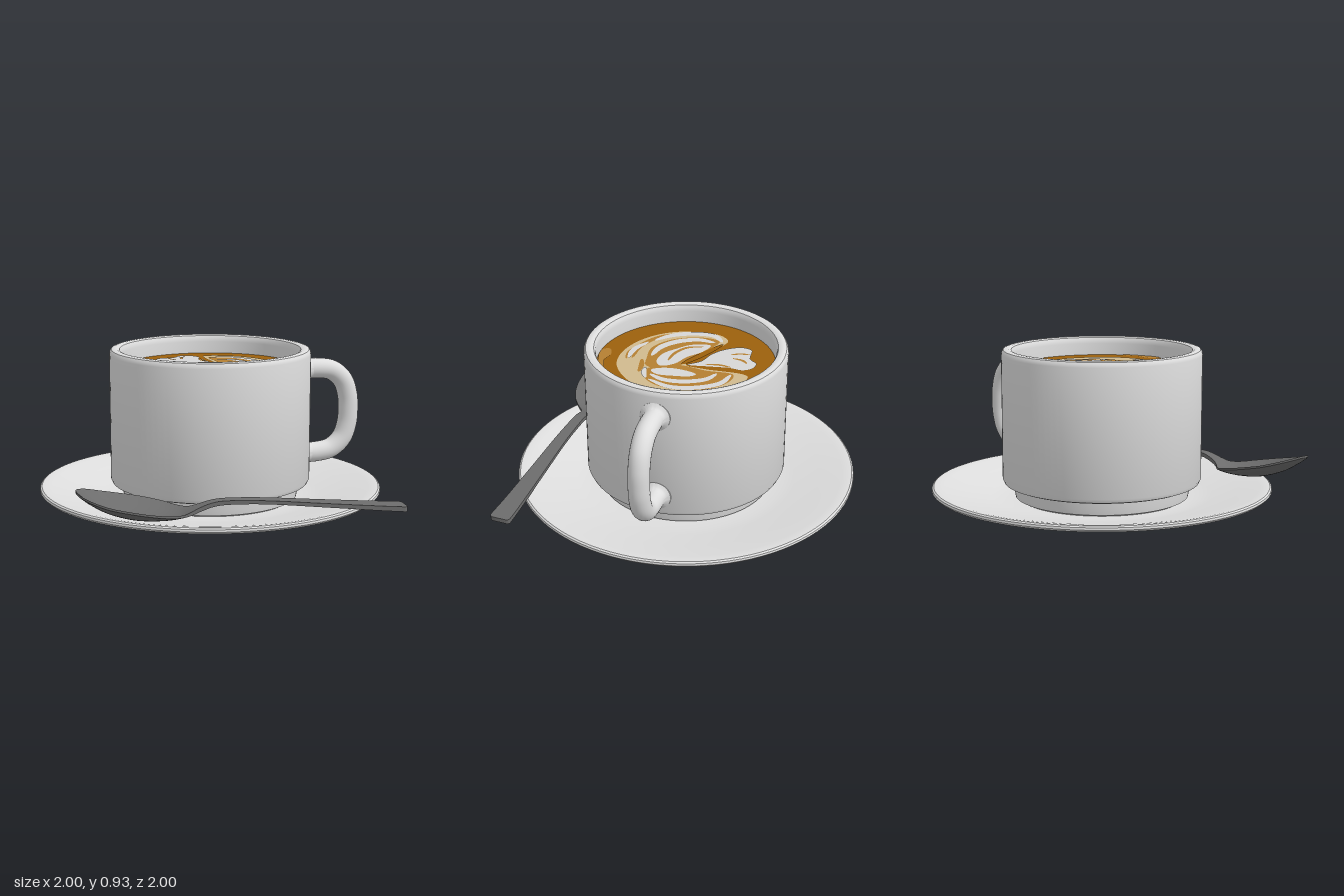
import * as THREE from 'three';
import { toCreasedNormals } from 'three/addons/utils/BufferGeometryUtils.js';

const mat = (name, color, side = THREE.FrontSide) => {
  const m = new THREE.MeshStandardMaterial({ color, side });
  m.name = name;
  return m;
};

const lathe = (profile) => toCreasedNormals(
  new THREE.LatheGeometry(profile.map(([r, y]) => new THREE.Vector2(r, y)), 96), 0.6);

// Flat closed outline in (x, z), facing up
function blob(points) {
  const curve = new THREE.CatmullRomCurve3(points.map(([x, z]) => new THREE.Vector3(x, -z, 0)), true);
  const outline = curve.getPoints(points.length * 6).slice(0, -1).map((p) => new THREE.Vector2(p.x, p.y));
  return new THREE.ShapeGeometry(new THREE.Shape(outline)).rotateX(-Math.PI / 2);
}

// Flat brush stroke along (x, z) points, tapering at both ends
function stroke(points, width) {
  const curve = new THREE.CatmullRomCurve3(points.map(([x, z]) => new THREE.Vector3(x, -z, 0)));
  const a = [], b = [], n = 24;
  for (let i = 0; i <= n; i++) {
    const p = curve.getPoint(i / n), t = curve.getTangent(i / n);
    const w = width * (0.08 + 0.42 * Math.sqrt(Math.sin(Math.PI * i / n) + 1e-6));
    a.push(new THREE.Vector2(p.x - t.y * w, p.y + t.x * w));
    b.unshift(new THREE.Vector2(p.x + t.y * w, p.y - t.x * w));
  }
  return new THREE.ShapeGeometry(new THREE.Shape([...a, ...b])).rotateX(-Math.PI / 2);
}

// Spoon lofted from stations: x, z, half width, edge height, bowl depth, thickness
function spoonGeometry() {
  const stations = [
    [-0.935, 0.70, 0.02, 0.315, 0, 0.012], [-0.92, 0.70, 0.07, 0.308, 0.008, 0.012],
    [-0.87, 0.70, 0.135, 0.29, 0.03, 0.012], [-0.78, 0.705, 0.182, 0.262, 0.055, 0.012],
    [-0.66, 0.71, 0.2, 0.235, 0.07, 0.012], [-0.55, 0.715, 0.197, 0.212, 0.062, 0.012],
    [-0.45, 0.722, 0.163, 0.192, 0.042, 0.013], [-0.38, 0.73, 0.108, 0.18, 0.02, 0.015],
    [-0.33, 0.735, 0.062, 0.182, 0.004, 0.02], [-0.28, 0.74, 0.04, 0.198, 0, 0.024],
    [-0.2, 0.746, 0.032, 0.22, 0, 0.024], [-0.1, 0.753, 0.033, 0.224, 0, 0.022],
    [0.1, 0.77, 0.037, 0.213, 0, 0.02], [0.4, 0.793, 0.046, 0.184, 0, 0.022],
    [0.7, 0.817, 0.056, 0.156, 0, 0.026], [0.84, 0.83, 0.061, 0.145, 0, 0.028],
    [0.865, 0.832, 0.058, 0.143, 0, 0.028], [0.875, 0.833, 0.046, 0.142, 0, 0.026],
  ];
  const plan = new THREE.CatmullRomCurve3(stations.map((s) => new THREE.Vector3(s[0], s[1], s[2])), false, 'catmullrom', 0.5);
  const lift = new THREE.CatmullRomCurve3(stations.map((s) => new THREE.Vector3(s[3], s[4], s[5])), false, 'catmullrom', 0.5);
  const rows = 85, cols = 14, ring = 2 * (cols + 1), pos = [], idx = [];
  for (let i = 0; i <= rows; i++) {
    const p = plan.getPoint(i / rows), q = lift.getPoint(i / rows);
    for (let k = 0; k < ring; k++) {
      const under = k > cols;
      const u = 2 * (under ? ring - 1 - k : k) / cols - 1;
      const y = q.x - q.y * (1 - u * u) - (under ? q.z : 0);
      pos.push(p.x - 0.08 * u * p.z, y, p.y + u * p.z);
    }
  }
  for (let i = 0; i < rows; i++) {
    for (let k = 0; k < ring; k++) {
      const a = i * ring + k, b = i * ring + (k + 1) % ring;
      idx.push(a, b, a + ring, b, b + ring, a + ring);
    }
  }
  // End caps
  const end = rows * ring;
  for (let k = 1; k < ring - 1; k++) idx.push(0, k + 1, k, end, end + k, end + k + 1);
  const g = new THREE.BufferGeometry();
  g.setAttribute('position', new THREE.Float32BufferAttribute(pos, 3));
  g.setIndex(idx);
  return toCreasedNormals(g, 0.7);
}

export function createModel() {
  const model = new THREE.Group();
  const china = mat('white china', 0xdedede);
  const steel = mat('spoon steel', 0x6c6c6c, THREE.DoubleSide);
  const coffee = mat('coffee brown', 0x9c600c);
  const caramel = mat('caramel', 0xb47f32);
  const cream = mat('cream', 0xd0ba8e);
  const milk = mat('milk white', 0xd6d6d6);
  const add = (name, geometry, material, parent = model) => {
    const mesh = new THREE.Mesh(geometry, material);
    mesh.name = name;
    parent.add(mesh);
    return mesh;
  };

  add('saucer', lathe([[0, 0.02], [0.48, 0.02], [0.505, 0.014], [0.53, 0.002], [0.55, 0], [0.59, 0],
    [0.62, 0.006], [0.8, 0.05], [0.97, 0.094], [0.99, 0.1], [1, 0.112], [0.998, 0.125], [0.988, 0.132],
    [0.97, 0.132], [0.93, 0.125], [0.8, 0.098], [0.65, 0.066], [0.58, 0.054], [0.5, 0.05], [0, 0.05]]), china);

  // Cup with stepped foot, rounded rim and inner wall
  const cup = new THREE.Group();
  cup.name = 'cup';
  model.add(cup);
  add('cupBody', lathe([[0, 0.052], [0.49, 0.052], [0.51, 0.062], [0.515, 0.09], [0.52, 0.14], [0.555, 0.14],
    [0.575, 0.148], [0.585, 0.17], [0.585, 0.9], [0.582, 0.916], [0.573, 0.928], [0.558, 0.932],
    [0.54, 0.932], [0.526, 0.926], [0.518, 0.912], [0.515, 0.89], [0.515, 0.78]]), china, cup);

  const path = [[0.55, 0.78], [0.67, 0.78], [0.76, 0.762], [0.83, 0.7], [0.862, 0.61], [0.868, 0.525],
    [0.862, 0.44], [0.83, 0.35], [0.76, 0.288], [0.67, 0.27], [0.55, 0.27]];
  const handlePath = new THREE.CatmullRomCurve3(path.map(([x, y]) => new THREE.Vector3(x, y, 0)));
  add('handle', new THREE.TubeGeometry(handlePath, 64, 0.06, 24), china, cup);
  // Flared joints where the handle meets the wall
  for (const y of [0.78, 0.27]) {
    const flare = add('handleJoint', lathe([[0.088, 0], [0.086, 0.025], [0.072, 0.034], [0.064, 0.045], [0.059, 0.065]]), china, cup);
    flare.rotation.z = -Math.PI / 2;
    flare.position.set(0.56, y, 0);
  }

  // Coffee and its poured milk pattern, in thin layers
  const drink = new THREE.Group();
  drink.name = 'coffee';
  drink.position.y = 0.82;
  model.add(drink);
  add('coffeeSurface', new THREE.CircleGeometry(0.516, 96).rotateX(-Math.PI / 2), coffee, drink);
  const layer = (name, material, y, geometries) => geometries.forEach((g) => {
    add(name, g, material, drink).position.y = y;
  });

  layer('foamBase', cream, 0.002, [blob([[0.07, -0.38], [0.17, -0.37], [0.3, -0.28], [0.385, -0.13], [0.4, 0.03],
    [0.36, 0.17], [0.27, 0.29], [0.15, 0.37], [0.02, 0.39], [-0.12, 0.36], [-0.25, 0.28], [-0.34, 0.16],
    [-0.375, 0.02], [-0.37, -0.1], [-0.31, -0.165], [-0.22, -0.14], [-0.1, -0.08], [0.04, -0.01], [0.06, -0.12]])]);

  layer('foamShade', caramel, 0.004, [
    blob([[-0.29, -0.12], [-0.2, -0.1], [-0.05, -0.03], [0.05, 0.01], [0.13, 0.05], [0.12, 0.2], [0.02, 0.23],
      [-0.1, 0.24], [-0.21, 0.18], [-0.28, 0.08], [-0.31, -0.03]]),
    blob([[0.08, -0.3], [0.17, -0.3], [0.28, -0.21], [0.33, -0.06], [0.32, 0.08], [0.25, 0.17], [0.14, 0.18],
      [0.06, 0.03], [0.08, -0.14]]),
    stroke([[-0.33, 0.12], [-0.24, 0.24], [-0.1, 0.31], [0.05, 0.31]], 0.035),
    stroke([[0.05, 0.25], [0.12, 0.23], [0.2, 0.22]], 0.03),
    stroke([[-0.06, 0.345], [0.0, 0.35], [0.07, 0.34]], 0.02),
    blob([[-0.02, 0.47], [0.05, 0.44], [0.12, 0.455], [0.2, 0.43], [0.24, 0.445], [0.12, 0.494], [0, 0.508]]),
  ]);

  layer('milkPattern', milk, 0.006, [
    // Heart
    blob([[-0.25, -0.27], [-0.23, -0.33], [-0.17, -0.34], [-0.12, -0.35], [-0.08, -0.395], [-0.02, -0.39],
      [0.02, -0.34], [0.015, -0.26], [0.03, -0.15], [0.045, -0.02], [-0.02, -0.085], [-0.12, -0.12], [-0.2, -0.18]]),
    // Left leaves
    stroke([[-0.28, -0.14], [-0.345, -0.07], [-0.34, 0.05], [-0.28, 0.17], [-0.19, 0.25]], 0.05),
    stroke([[-0.26, -0.1], [-0.27, 0.0], [-0.22, 0.11], [-0.12, 0.19], [0.0, 0.21]], 0.05),
    blob([[-0.22, -0.085], [-0.13, -0.06], [-0.04, 0.01], [0.05, 0.05], [0.1, 0.12], [0.06, 0.16],
      [-0.04, 0.155], [-0.12, 0.1], [-0.2, 0.02]]),
    stroke([[-0.16, 0.28], [-0.05, 0.33], [0.06, 0.33]], 0.035),
    // Right leaves
    blob([[0.14, -0.1], [0.17, -0.08], [0.195, 0.02], [0.2, 0.12], [0.16, 0.16], [0.12, 0.1], [0.11, 0.0]]),
    stroke([[0.1, -0.21], [0.18, -0.17], [0.24, -0.06], [0.25, 0.06], [0.21, 0.15]], 0.045),
    stroke([[0.09, -0.29], [0.2, -0.26], [0.29, -0.14], [0.32, 0.0], [0.27, 0.14]], 0.045),
    stroke([[0.14, 0.2], [0.2, 0.19], [0.26, 0.16]], 0.03),
  ]);

  // Fine caramel lines across the milk
  layer('patternLines', caramel, 0.008, [
    stroke([[-0.19, -0.05], [-0.15, 0.04], [-0.06, 0.09], [0.03, 0.1]], 0.022),
    stroke([[-0.06, -0.345], [-0.09, -0.31], [-0.1, -0.25]], 0.018),
    stroke([[-0.17, -0.335], [-0.165, -0.28], [-0.14, -0.23]], 0.016),
    stroke([[0.01, -0.27], [0.0, -0.2], [0.015, -0.12]], 0.018),
  ]);
  layer('patternGap', coffee, 0.008, [stroke([[-0.25, -0.15], [-0.13, -0.09], [-0.02, -0.03], [0.05, 0.01]], 0.045)]);

  add('spoon', spoonGeometry(), steel);
  return model;
}
